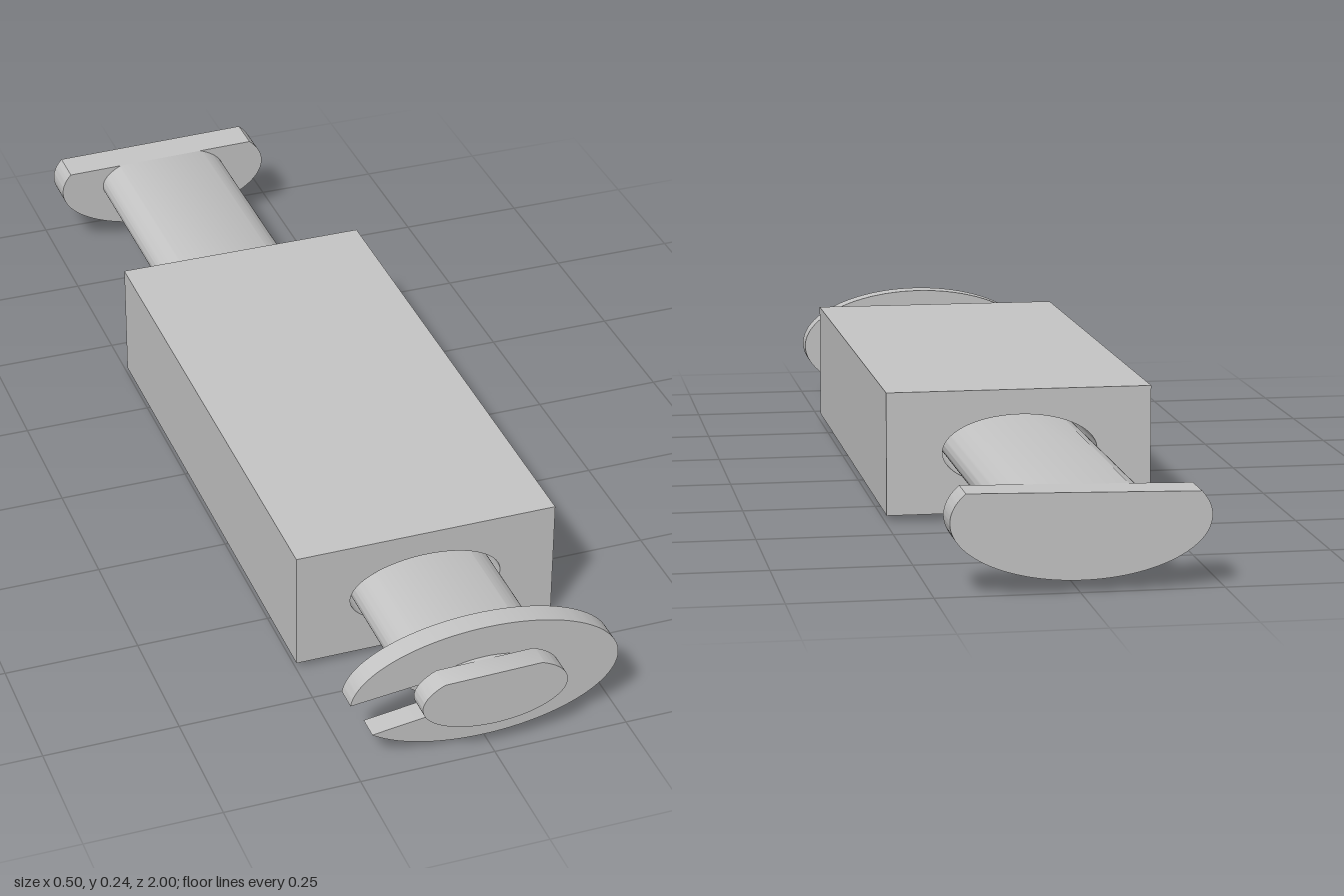
import * as THREE from 'three';
import { toCreasedNormals } from 'three/addons/utils/BufferGeometryUtils.js';

const CX = -0.002, CY = 0.1265; // pin axis
const metal = new THREE.MeshStandardMaterial({ color: 0xc5c5c5 });
metal.name = 'light grey metal';

// Extrude a shape between two z positions, smooth on curves and sharp on edges
function slab(name, shape, z0, z1) {
  let g = new THREE.ExtrudeGeometry(shape, { depth: z1 - z0, bevelEnabled: false, curveSegments: 72 });
  g.translate(0, 0, z0);
  g = toCreasedNormals(g, 0.5);
  const mesh = new THREE.Mesh(g, metal);
  mesh.name = name;
  return mesh;
}

// Ellipse with the top cut off by a slightly tilted flat
function flattened(rx, ry) {
  const flat = x => 0.0462 + 0.02 * x;
  const cut = (a, b) => { // angle where the ellipse meets the flat
    for (let i = 0; i < 40; i++) {
      const m = (a + b) / 2;
      if (ry * Math.sin(m) < flat(rx * Math.cos(m))) a = m; else b = m;
    }
    return a;
  };
  const right = cut(0, Math.PI / 2), left = cut(Math.PI, Math.PI / 2);
  const s = new THREE.Shape();
  s.absellipse(CX, CY, rx, ry, left, right + Math.PI * 2, false, 0);
  s.closePath();
  return s;
}

export function createModel() {
  const group = new THREE.Group();
  group.name = 'pinAssembly';

  // Block with an oval through hole
  const block = new THREE.Shape();
  block.moveTo(-0.249, 0.0115);
  block.lineTo(0.247, 0.0115);
  block.lineTo(0.247, 0.2415);
  block.lineTo(-0.249, 0.2415);
  block.closePath();
  const bore = new THREE.Path();
  bore.absellipse(CX, CY, 0.145, 0.068, 0, Math.PI * 2, true, 0);
  block.holes.push(bore);
  group.add(slab('block', block, -0.39, 0.66));

  // Pin: rear head, shaft, groove and front tip
  group.add(slab('pinHead', flattened(0.225, 0.105), -1, -0.927));
  group.add(slab('pinShaft', flattened(0.135, 0.062), -0.927, 0.902));
  const neck = new THREE.Shape();
  neck.absellipse(CX, CY, 0.105, 0.0455, 0, Math.PI * 2, false, 0);
  group.add(slab('pinGroove', neck, 0.902, 0.956));
  group.add(slab('pinTip', flattened(0.135, 0.062), 0.956, 1));

  // Retaining clip with a slanted slot open to one side
  const deg = THREE.MathUtils.degToRad;
  const clip = new THREE.Shape();
  clip.absellipse(0, 0.1175, 0.2515, 0.1175, deg(213.4), deg(175.6 + 360), false, 0);
  clip.absellipse(CX, CY, 0.105, 0.0455, deg(158), deg(268 - 360), true, 0);
  clip.closePath();
  group.add(slab('retainingClip', clip, 0.904, 0.948));

  return group;
}
